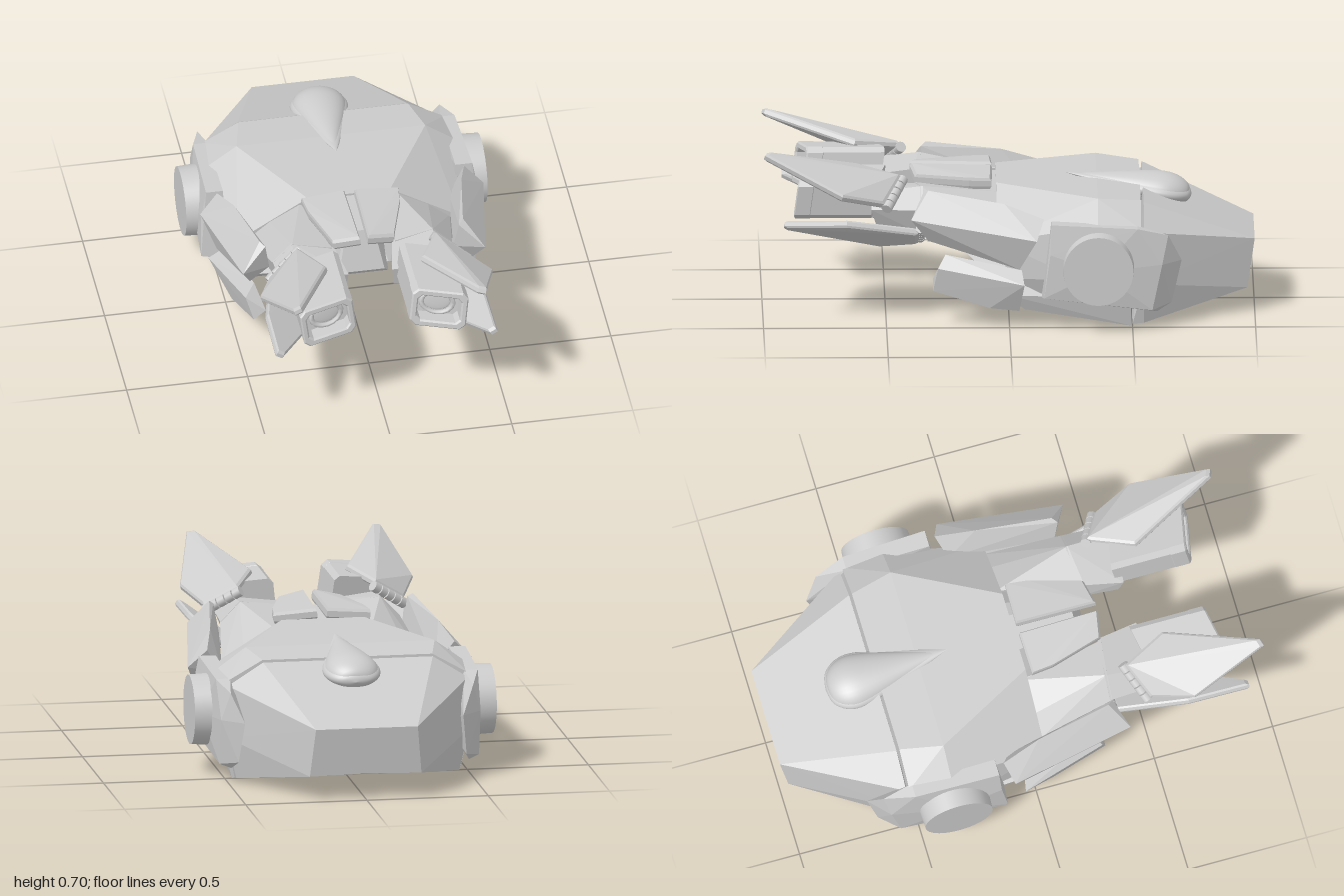
import * as THREE from 'three';
import { ConvexGeometry } from 'three/addons/geometries/ConvexGeometry.js';

const V = (p) => new THREE.Vector3(...p);

export function createModel() {
  const model = new THREE.Group();
  model.name = 'armouredCraft';
  const grey = new THREE.MeshStandardMaterial({ color: 0xcccccc });
  grey.name = 'armourGrey';

  const add = (name, geometry, parent = model) => {
    const mesh = new THREE.Mesh(geometry, grey);
    mesh.name = name;
    parent.add(mesh);
    return mesh;
  };
  // faceted block around corner points, for side s of the model
  const block = (name, pts, s = 1) =>
    add(name, new ConvexGeometry(pts.map(([x, y, z]) => V([x * s, y, z]))));
  // block symmetrical about x = 0
  const symmetric = (name, pts) =>
    block(name, pts.flatMap(([x, y, z]) => [[x, y, z], [-x, y, z]]));
  // thin armour plate with a bevelled rim, thickened along its own normal
  const plate = (name, outline, t, s) => {
    const p = outline.map(([x, y, z]) => V([x * s, y, z]));
    const c = p.reduce((a, b) => a.add(b), new THREE.Vector3()).divideScalar(p.length);
    const n = new THREE.Vector3();
    p.forEach((a, i) => n.add(a.clone().sub(c).cross(p[(i + 1) % p.length].clone().sub(c))));
    n.normalize();
    if (n.y < 0) n.negate();
    const ring = (k, h) => p.map((q) => q.clone().lerp(c, k).addScaledVector(n, h));
    return add(name, new ConvexGeometry([
      ...ring(0.05, t / 2), ...ring(0, t / 4), ...ring(0, -t / 4), ...ring(0.05, -t / 2)]));
  };
  // rectangle with cut corners, as a shape or a hole
  const chamfered = (Type, w, h, r) => {
    const a = w / 2, b = h / 2, p = new Type();
    [[a - r, -b], [a, r - b], [a, b - r], [a - r, b], [r - a, b], [-a, b - r], [-a, r - b], [r - a, -b]]
      .forEach(([x, y], i) => (i ? p.lineTo(x, y) : p.moveTo(x, y)));
    p.closePath();
    return p;
  };
  // row of hinge knuckles between two points
  const hinge = (name, from, to, r, s) => {
    const a = V(from), b = V(to);
    a.x *= s; b.x *= s;
    const g = new THREE.Group();
    g.name = name;
    const dir = b.clone().sub(a), step = dir.length() / 5;
    const q = new THREE.Quaternion().setFromUnitVectors(V([0, 1, 0]), dir.clone().normalize());
    for (let i = 0; i < 5; i++) {
      const k = add('knuckle', new THREE.CylinderGeometry(r, r, step * 0.86, 12), g);
      k.position.copy(a).addScaledVector(dir, (i + 0.5) / 5);
      k.quaternion.copy(q);
    }
    model.add(g);
  };

  // main shell and the neck between the arms
  symmetric('mainShell', [
    [0.17, 0.527, 0.05], [0.39, 0.512, -0.36], [0.35, 0.495, -0.535],
    [0.46, 0.35, 0.05], [0.51, 0.425, -0.36], [0.5, 0.41, -0.535],
    [0.47, 0.2, 0.0], [0.525, 0.2, -0.3], [0.515, 0.18, -0.535],
    [0.36, 0.18, -0.03], [0.47, 0.125, -0.15], [0.47, 0.07, -0.535]]);
  symmetric('neck', [
    [0.058, 0.53, 0.3], [0.08, 0.515, 0], [0.093, 0.36, 0.35], [0.112, 0.335, 0.33], [0.14, 0.33, 0]]);

  // smooth teardrop canopy with its rim
  const profile = new THREE.SplineCurve([[0, -0.11], [0.06, -0.097], [0.1, -0.055], [0.115, 0.005],
    [0.1, 0.09], [0.063, 0.21], [0.027, 0.32], [0, 0.398]].map((p) => new THREE.Vector2(...p)))
    .getPoints(28).map((p) => p.setX(Math.max(0, p.x)));
  [['canopy', 0.97, 0.64], ['canopyRim', 1.03, 0.4]].forEach(([name, k, flat]) => {
    const geometry = new THREE.LatheGeometry(profile, 32).scale(k, k, k * flat)
      .rotateX(Math.PI / 2 - 0.18);
    add(name, geometry).position.set(0, 0.455, -0.635);
  });

  for (const s of [-1, 1]) {
    // halves of the tail and belly, slightly hollow along the keel
    block('tailShellHalf', [
      [0, 0.487, -0.547], [0.35, 0.487, -0.547], [0.495, 0.395, -0.547], [0.5, 0.18, -0.547],
      [0, 0.025, -0.5], [0.46, 0.005, -0.5], [0.46, 0.01, -0.547],
      [0, 0.3, -1], [0.21, 0.3, -1], [0, 0.105, -0.97], [0.23, 0.1, -0.97]], s);
    block('bellyHalf', [
      [0, 0.35, 0.3], [0.12, 0.345, 0.29], [0, 0.33, 0], [0.12, 0.33, 0], [0.48, 0.13, 0],
      [0, 0.115, -0.05], [0.36, 0.11, -0.05], [0.46, 0.068, -0.06],
      [0, 0.02, -0.494], [0.47, 0, -0.494], [0.5, 0.12, -0.494], [0, 0.2, -0.494]], s);

    // side pod, chamfered towards the tail, with its round hub
    block('sidePod', [
      [0.55, 0.44, -0.17], [0.54, 0.42, -0.52], [0.535, 0.27, -0.62], [0.535, 0.08, -0.58],
      [0.575, 0.14, -0.14], [0.572, 0.32, -0.165], [0.575, 0.25, -0.36],
      [0.5, 0.385, -0.645], [0.45, 0.27, -0.7], [0.47, 0.1, -0.66], [0.49, 0.065, -0.6],
      [0.48, 0.44, -0.17], [0.48, 0.42, -0.52], [0.47, 0.12, -0.13], [0.48, 0.32, -0.16]], s);
    const hub = add('hub', new THREE.CylinderGeometry(0.142, 0.147, 0.1, 40));
    hub.rotation.z = -s * Math.PI / 2;
    hub.position.set(s * 0.572, 0.262, -0.36);

    // upper and lower armour on the flanks
    block('upperFlankArmour', [
      [0.4, 0.54, 0.35], [0.42, 0.555, 0.33], [0.5, 0.45, 0.4], [0.46, 0.355, 0.33], [0.38, 0.42, 0.33],
      [0.51, 0.455, -0.14], [0.585, 0.38, -0.11], [0.53, 0.25, -0.04], [0.44, 0.35, -0.1],
      [0.47, 0.51, 0.02]], s);
    block('lowerFlankArmour', [
      [0.43, 0.29, 0.26], [0.39, 0.18, 0.31], [0.44, 0.14, 0.31], [0.47, 0.24, 0.29],
      [0.5, 0.24, -0.05], [0.44, 0.1, -0.03], [0.56, 0.19, -0.06], [0.5, 0.07, -0.04],
      [0.49, 0.08, 0.08]], s);

    // arm reaching forward to the lamp housing
    block('arm', [
      [0.2, 0.495, 0.03], [0.33, 0.42, 0.03], [0.42, 0.345, 0.03], [0.22, 0.29, 0.03],
      [0.13, 0.52, 0.38], [0.29, 0.543, 0.36], [0.37, 0.46, 0.36], [0.33, 0.32, 0.33], [0.13, 0.37, 0.36]], s);
    block('wrist', [
      [0.09, 0.5, 0.54], [0.3, 0.52, 0.56], [0.36, 0.46, 0.56], [0.33, 0.39, 0.54], [0.1, 0.41, 0.52],
      [0.12, 0.515, 0.37], [0.29, 0.543, 0.35], [0.37, 0.46, 0.35], [0.33, 0.35, 0.35], [0.12, 0.39, 0.36]], s);

    // deck plate beside the centre line
    plate('deckPlate', [[0.02, 0.542, 0.065], [0.2, 0.528, 0.07], [0.19, 0.528, 0.16],
      [0.125, 0.528, 0.38], [0.015, 0.55, 0.4]], 0.048, s);

    // lamp housing with a slanted face: block, open frame, ring and lens
    const lamp = new THREE.Group();
    lamp.name = 'lampHousing';
    lamp.position.set(s * 0.229, 0.507, 0.68);
    lamp.rotation.z = -s * 0.12;
    model.add(lamp);
    const slant = new THREE.Matrix4().makeShear(0, s * 0.2, 0, -0.13, 0, 0);
    const lampPart = (name, geometry, z) =>
      add(name, geometry.translate(0, 0, z).applyMatrix4(slant), lamp);
    lampPart('housingBlock', new THREE.ExtrudeGeometry(chamfered(THREE.Shape, 0.222, 0.164, 0.02),
      { depth: 0.25, bevelEnabled: false }), -0.15);
    const frame = chamfered(THREE.Shape, 0.214, 0.156, 0.02);
    frame.holes.push(chamfered(THREE.Path, 0.186, 0.124, 0.02));
    lampPart('housingFrame', new THREE.ExtrudeGeometry(frame, {
      depth: 0.06, bevelSize: 0.006, bevelThickness: 0.006, bevelSegments: 1 }), 0.1);
    lampPart('lensRing', new THREE.TorusGeometry(0.064, 0.011, 6, 16).scale(1, 0.75, 1), 0.11);
    lampPart('lens', new THREE.SphereGeometry(0.056, 20, 10).scale(1, 0.75, 0.08), 0.1);

    // upper and lower fins with their hinges
    plate('upperFin', [[0.28, 0.575, 0.44], [0.41, 0.49, 0.51], [0.478, 0.535, 0.68],
      [0.395, 0.69, 0.995], [0.365, 0.695, 0.985], [0.195, 0.605, 0.62]], 0.032, s);
    hinge('upperFinHinge', [0.27, 0.57, 0.43], [0.415, 0.475, 0.5], 0.022, s);
    plate('lowerFin', [[0.26, 0.305, 0.37], [0.39, 0.375, 0.37], [0.452, 0.425, 0.66],
      [0.455, 0.425, 0.915], [0.43, 0.41, 0.915], [0.21, 0.283, 0.52]], 0.03, s);
    hinge('lowerFinHinge', [0.25, 0.315, 0.36], [0.39, 0.39, 0.36], 0.02, s);
  }
  return model;
}
